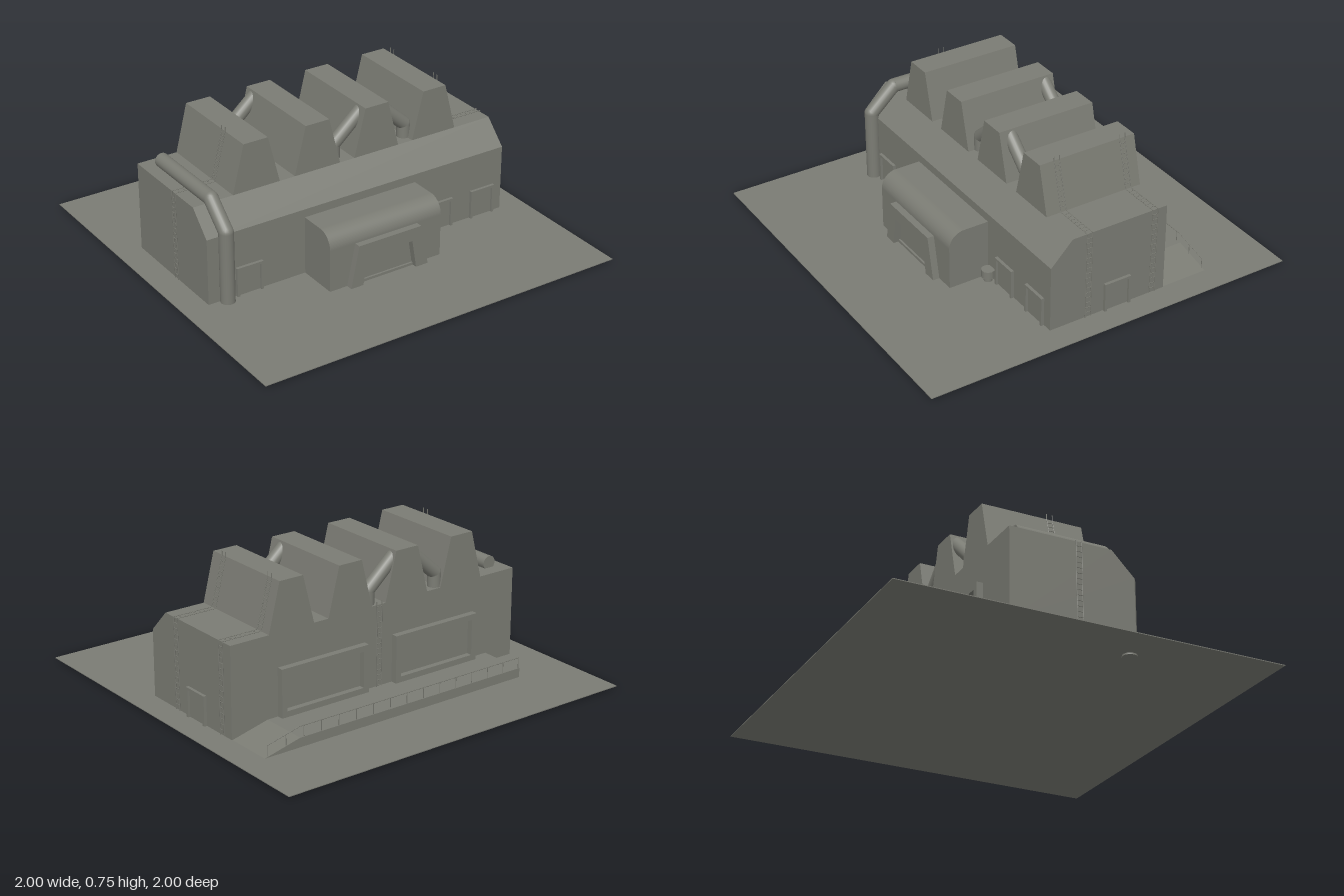
import * as THREE from 'three';

const concrete = new THREE.MeshStandardMaterial({ color: 0x7b7c74 });
concrete.name = 'concrete grey';

const GROUND = 0.012, ROOF = 0.48, TOP = 0.73, BACK = -0.373, FRONT = 0.278, HALF = 0.864;
const V = (x, y, z) => new THREE.Vector3(x, y, z);

export function createModel() {
  const model = new THREE.Group();
  model.name = 'factory';

  const add = (name, geometry, parent = model) => {
    const mesh = new THREE.Mesh(geometry, concrete);
    mesh.name = name;
    parent.add(mesh);
    return mesh;
  };
  const group = (name) => {
    const g = new THREE.Group();
    g.name = name;
    model.add(g);
    return g;
  };
  const box = (name, x0, x1, y0, y1, z0, z1, parent) => {
    const mesh = add(name, new THREE.BoxGeometry(x1 - x0, y1 - y0, z1 - z0), parent);
    mesh.position.set((x0 + x1) / 2, (y0 + y1) / 2, (z0 + z1) / 2);
    return mesh;
  };
  const shapeOf = (points) => new THREE.Shape(points.map(([x, y]) => new THREE.Vector2(x, y)));
  const extrude = (shape, depth) =>
    new THREE.ExtrudeGeometry(shape, { depth, bevelEnabled: false, curveSegments: 10 });
  // Extrudes a (z, y) profile along x, from -half to +half
  const alongX = (name, shape, half) => {
    const geometry = extrude(shape, half * 2);
    geometry.translate(0, 0, -half);
    geometry.rotateY(-Math.PI / 2);
    return add(name, geometry);
  };
  // Straight bar or pipe section between two points
  const rod = (name, a, b, radius, sides, parent) => {
    const mesh = add(name, new THREE.CylinderGeometry(radius, radius, a.distanceTo(b), sides), parent);
    mesh.position.copy(a).lerp(b, 0.5);
    mesh.quaternion.setFromUnitVectors(V(0, 1, 0), b.clone().sub(a).normalize());
    return mesh;
  };
  const pipe = (name, points, radius) => {
    const g = group(name);
    for (let i = 1; i < points.length; i++) {
      rod('pipeSection', points[i - 1], points[i], radius, 20, g);
      if (i < points.length - 1) {
        add('pipeElbow', new THREE.SphereGeometry(radius, 20, 12), g).position.copy(points[i]);
      }
    }
  };

  // Ground slab
  box('ground', -1, 1, GROUND - 0.004, GROUND, -1, 1);

  // Main hall with a sloped front roof edge
  const hall = [[BACK, GROUND], [FRONT, GROUND], [FRONT, 0.36], [0.16, ROOF], [BACK, ROOF]];
  // extrude axis becomes -x after the turn, profile x becomes +z
  alongX('mainHall', shapeOf(hall), HALF);

  // Four tapered roof towers
  for (const x of [-0.517, -0.172, 0.172, 0.517]) {
    const tower = extrude(shapeOf([[-0.13, ROOF], [0.13, ROOF], [0.067, TOP], [-0.067, TOP]]), 0.16 - BACK);
    add('roofTower', tower).position.set(x, 0, BACK);
  }

  // Bent pipes running from the tower sides down to the roof
  const roofPipe = (x, side, z) => pipe('roofPipe', [
    V(x + side * 0.04, 0.7, z), V(x + side * 0.21, 0.55, z), V(x + side * 0.21, ROOF - 0.01, z)], 0.035);
  roofPipe(-0.172, -1, -0.33);
  roofPipe(-0.172, 1, -0.33);
  roofPipe(0.172, -1, 0.09);
  roofPipe(0.172, 1, 0.09);

  // Large pipe up the front and over the roof
  pipe('largePipe', [V(-0.77, 0, 0.297), V(-0.77, 0.385, 0.297),
    V(-0.77, 0.505, 0.165), V(-0.77, 0.505, -0.3)], 0.037);

  // Entrance porch with a rounded front edge
  const porch = new THREE.Shape();
  porch.moveTo(FRONT - 0.01, GROUND);
  porch.lineTo(0.495, GROUND);
  porch.lineTo(0.495, 0.235);
  porch.absarc(0.413, 0.235, 0.082, 0, Math.PI / 2, false);
  porch.lineTo(FRONT - 0.01, 0.317);
  alongX('entrancePorch', porch, 0.323);

  // Tapered gate surround
  const gate = shapeOf([[-0.225, GROUND], [-0.155, GROUND], [-0.13, 0.163], [0.13, 0.163],
    [0.155, GROUND], [0.225, GROUND], [0.18, 0.232], [-0.18, 0.232]]);
  add('gateSurround', extrude(gate, 0.04)).position.z = 0.49;
  box('gateSill', -0.152, 0.152, GROUND, 0.026, 0.49, 0.505);

  // Framed door, drawn facing +z at the origin
  const framedDoor = (name, width, y0, y1, border, depth, closed) => {
    const g = group(name), w = width / 2;
    let frame;
    if (closed) {
      frame = shapeOf([[-w, y0], [w, y0], [w, y1], [-w, y1]]);
      const i = w - border;
      frame.holes.push(new THREE.Path([[-i, y0 + border], [-i, y1 - border], [i, y1 - border], [i, y0 + border]]
        .map(([x, y]) => new THREE.Vector2(x, y))));
    } else {
      const i = w - border;
      frame = shapeOf([[-w, y0], [-i, y0], [-i, y1 - border], [i, y1 - border],
        [i, y0], [w, y0], [w, y1], [-w, y1]]);
    }
    add('doorFrame', extrude(frame, depth), g);
    box('doorPanel', -w + border, w - border, y0, y1 - border, 0, 0.004, g);
    return g;
  };
  for (const x of [-0.64, 0.48, 0.74]) {
    framedDoor('frontDoor', 0.145, GROUND, 0.165, 0.013, 0.016, false).position.set(x, 0, FRONT);
  }
  const sideDoor = framedDoor('sideDoor', 0.148, GROUND, 0.165, 0.013, 0.016, false);
  sideDoor.position.set(HALF, 0, -0.096);
  sideDoor.rotation.y = Math.PI / 2;
  for (const x of [-0.342, 0.342]) {
    const bay = framedDoor('loadingDoor', 0.515, 0.06, 0.307, 0.03, 0.034, true);
    bay.position.set(x, 0, BACK);
    bay.rotation.y = Math.PI;
  }

  // Small capped vent beside the front door
  const vent = group('groundVent');
  rod('ventStem', V(0.362, GROUND, 0.303), V(0.362, 0.045, 0.303), 0.022, 12, vent);
  rod('ventCap', V(0.362, 0.035, 0.303), V(0.362, 0.075, 0.303), 0.034, 12, vent);

  // Loading platform with a ramp at one end
  const deck = shapeOf([[-0.695, GROUND], [0.86, GROUND], [0.66, 0.06], [-0.695, 0.06]]);
  add('loadingPlatform', extrude(deck, 0.255)).position.set(0, 0, -0.627);

  // Platform handrail following the ramp
  const railing = group('platformRailing');
  const deckY = (x) => (x < 0.66 ? 0.06 : 0.06 - (x - 0.66) * 0.24);
  const railZ = -0.622;
  for (let i = 0; i <= 15; i++) {
    const x = -0.69 + i * 0.102;
    rod('railPost', V(x, deckY(x) - 0.002, railZ), V(x, deckY(x) + 0.055, railZ), 0.0018, 6, railing);
  }
  rod('handrail', V(-0.692, 0.115, railZ), V(0.66, 0.115, railZ), 0.0022, 6, railing);
  rod('handrail', V(0.66, 0.115, railZ), V(0.842, deckY(0.842) + 0.055, railZ), 0.0022, 6, railing);

  // Ladder: two rails along a path, offset across it, with even rungs
  const ladder = (path, across) => {
    const g = group('ladder');
    for (let i = 1; i < path.length; i++) {
      const a = path[i - 1], b = path[i];
      for (const s of [-1, 1]) {
        const off = across.clone().multiplyScalar(s);
        rod('ladderRail', a.clone().add(off), b.clone().add(off), 0.002, 6, g);
      }
      const count = Math.floor(a.distanceTo(b) / 0.028);
      for (let k = 1; k <= count; k++) {
        const p = a.clone().lerp(b, k / (count + 1));
        rod('ladderRung', p.clone().sub(across), p.clone().add(across), 0.0018, 6, g);
      }
    }
  };
  for (const [side, z] of [[1, 0.068], [1, -0.302], [-1, -0.015]]) {
    ladder([[0.868, GROUND], [0.868, 0.484], [0.651, 0.484], [0.588, TOP], [0.588, 0.755]]
      .map(([x, y]) => V(side * x, y, z)), V(0, 0, 0.015));
  }
  ladder([V(0, GROUND, BACK - 0.006), V(0, 0.5, BACK - 0.006)], V(0.015, 0, 0));

  return model;
}
